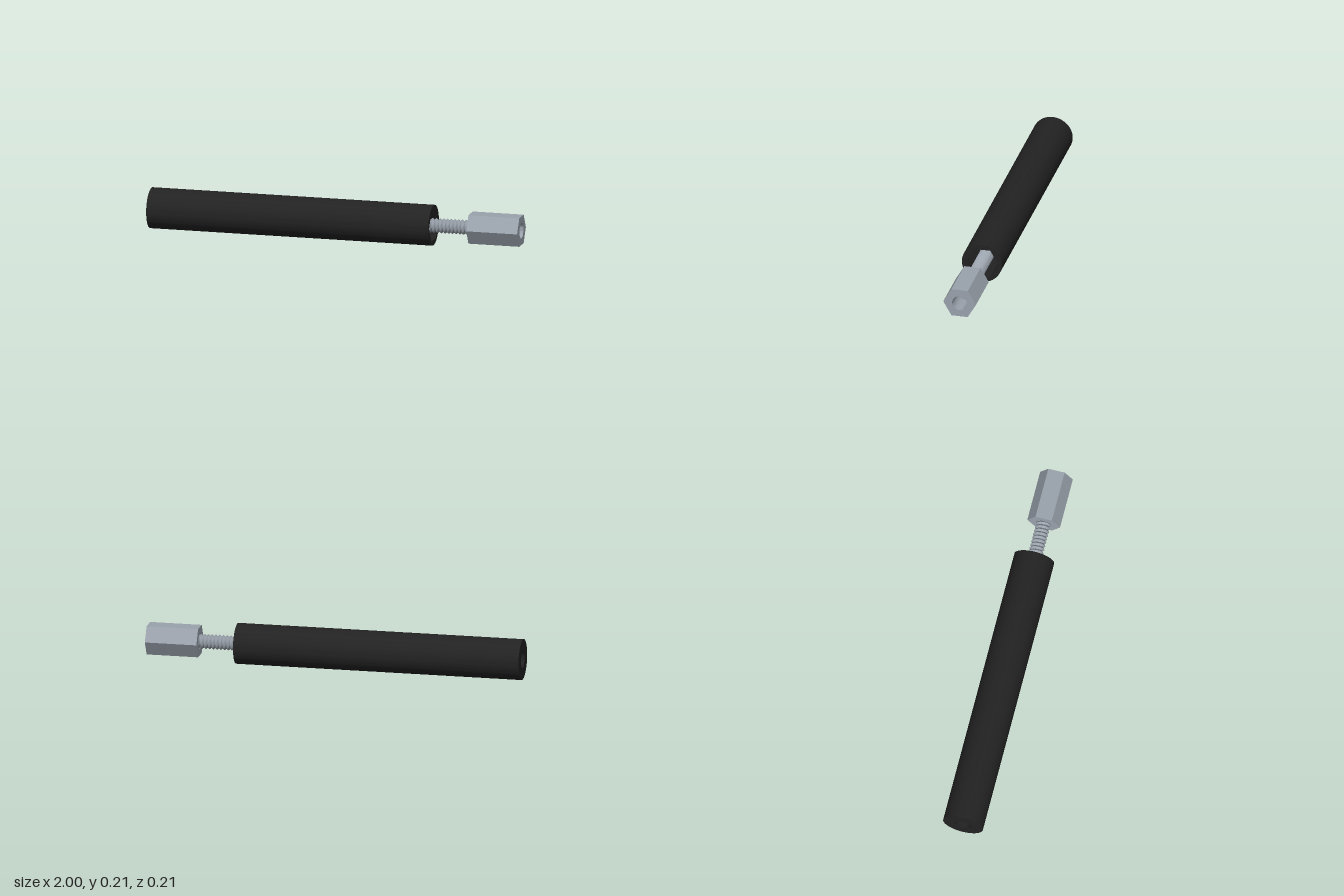
import * as THREE from 'three';
import { toCreasedNormals } from 'three/addons/utils/BufferGeometryUtils.js';

const AXIS_Y = 0.107;

const circle = (r, Type = THREE.Path) => new Type().absarc(0, 0, r, 0, Math.PI * 2, false);

// Hexagon with corners on the horizontal axis
function hexagon(r, Type = THREE.Path) {
  const pts = [];
  for (let i = 0; i < 6; i++) {
    const a = (i * Math.PI) / 3;
    pts.push(new THREE.Vector2(r * Math.cos(a), r * Math.sin(a)));
  }
  return new Type(pts);
}

// Extrudes an outline with a hole along x, from x0 to x1
function sleeve(outline, hole, x0, x1) {
  outline.holes.push(hole);
  const g = new THREE.ExtrudeGeometry(outline, { depth: x1 - x0, bevelEnabled: false, curveSegments: 40 });
  g.rotateY(Math.PI / 2).translate(x0, 0, 0);
  return toCreasedNormals(g, 0.4);
}

// Helical screw thread along x: crest and root rows shifted by the turn angle
function threadedRod(x0, x1, crest, root, pitch) {
  const turns = Math.ceil((x1 - x0) / pitch) + 1;
  const rows = turns * 2;
  const sides = 24;
  const pos = [];
  const index = [];
  for (let i = 0; i <= rows; i++) {
    for (let j = 0; j <= sides; j++) {
      const t = j / sides;
      const a = t * Math.PI * 2;
      const x = THREE.MathUtils.clamp(x0 + (i / 2 + t - 1) * pitch, x0, x1);
      const r = i % 2 ? crest : root;
      pos.push(x, r * Math.cos(a), r * Math.sin(a));
      if (i < rows && j < sides) {
        const p = i * (sides + 1) + j;
        const q = p + sides + 1;
        index.push(p, p + 1, q, p + 1, q + 1, q);
      }
    }
  }
  const g = new THREE.BufferGeometry();
  g.setAttribute('position', new THREE.Float32BufferAttribute(pos, 3));
  g.setIndex(index);
  return toCreasedNormals(g, 0.5);
}

export function createModel() {
  const group = new THREE.Group();
  const black = new THREE.MeshStandardMaterial({ color: 0x222222 });
  black.name = 'black plastic';
  const steel = new THREE.MeshStandardMaterial({ color: 0x9aa2ac });
  steel.name = 'steel';

  const add = (name, geometry, material) => {
    const mesh = new THREE.Mesh(geometry, material);
    mesh.name = name;
    mesh.position.y = AXIS_Y;
    group.add(mesh);
    return mesh;
  };

  // Round handle: narrow bore at the rear, hexagonal socket at the front
  add('handleBody', sleeve(circle(0.107, THREE.Shape), circle(0.043), -1, 0.23), black);
  add('handleSocket', sleeve(circle(0.107, THREE.Shape), hexagon(0.091), 0.23, 0.525), black);

  // Threaded rod with flat ends
  const rodStart = -0.97;
  const rodEnd = 0.88;
  add('threadedRod', threadedRod(rodStart, rodEnd, 0.0395, 0.031, 0.02), steel);
  for (const [name, x, turn] of [['rodRearEnd', rodStart, -1], ['rodFrontEnd', rodEnd, 1]]) {
    const cap = new THREE.CircleGeometry(0.0395, 32);
    cap.rotateY((turn * Math.PI) / 2).translate(x, 0, 0);
    add(name, cap, steel);
  }

  // Hexagonal coupling nut
  add('couplingNut', sleeve(hexagon(0.088, THREE.Shape), circle(0.04), 0.725, 1), steel);

  return group;
}
